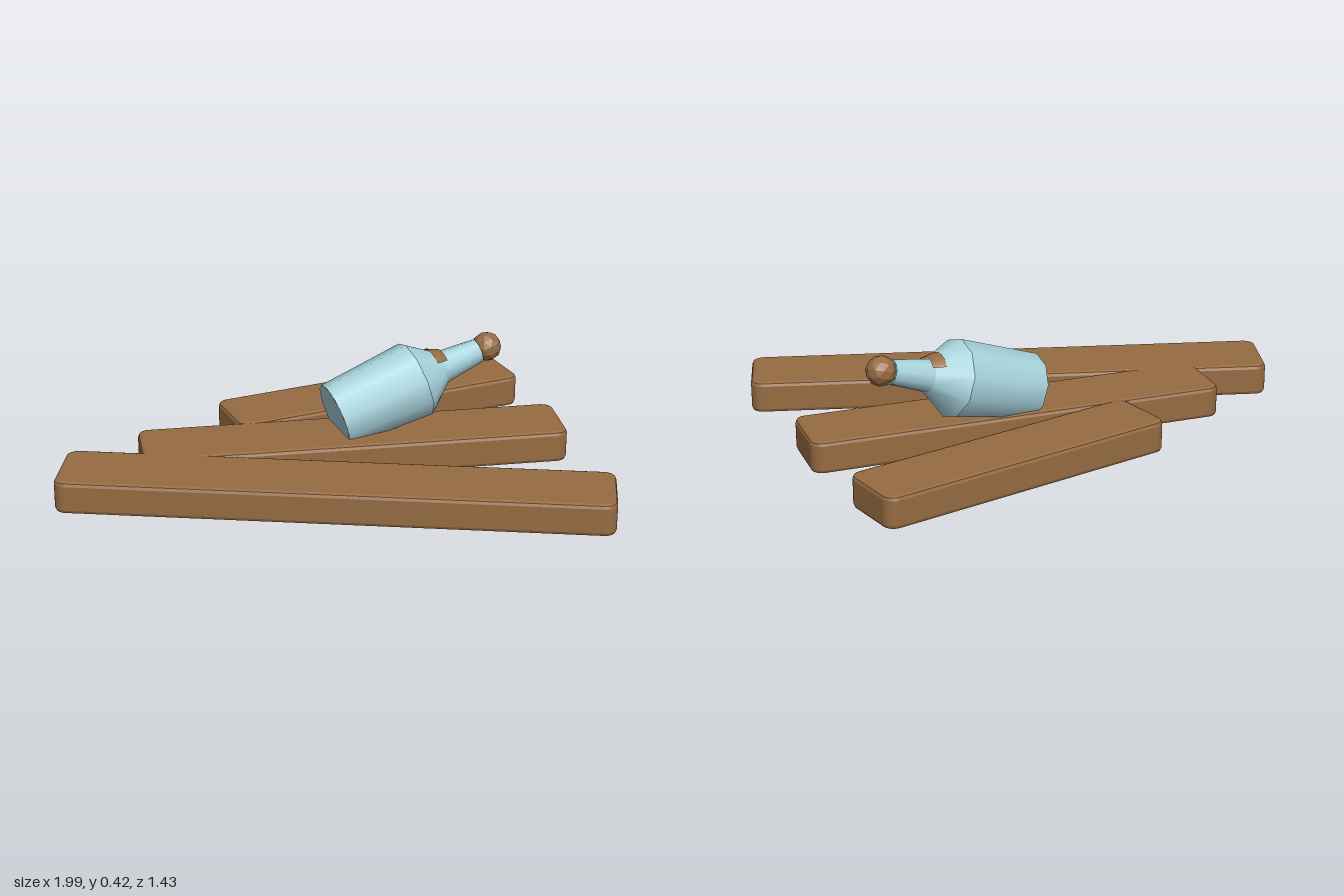
import * as THREE from 'three';

const wood = new THREE.MeshStandardMaterial({ color: 0x966b42 });
wood.name = 'brown wood';
const glass = new THREE.MeshStandardMaterial({ color: 0xa6d2db });
glass.name = 'pale blue glass';
const cork = new THREE.MeshStandardMaterial({ color: 0x966b42, flatShading: true });
cork.name = 'cork brown';

// Plank with rounded corners and a small bevel, lying on the ground
function plank(name, length, width, x, z, degrees) {
  const bevel = 0.015, r = 0.03, height = 0.122;
  const a = length / 2 - bevel, b = width / 2 - bevel;
  const s = new THREE.Shape();
  s.moveTo(-a + r, -b);
  s.lineTo(a - r, -b);
  s.absarc(a - r, -b + r, r, -Math.PI / 2, 0);
  s.absarc(a - r, b - r, r, 0, Math.PI / 2);
  s.absarc(-a + r, b - r, r, Math.PI / 2, Math.PI);
  s.absarc(-a + r, -b + r, r, Math.PI, Math.PI * 1.5);
  const geo = new THREE.ExtrudeGeometry(s, {
    depth: height - 2 * bevel, bevelThickness: bevel, bevelSize: bevel,
    bevelSegments: 2, curveSegments: 4,
  });
  geo.rotateX(-Math.PI / 2);
  const mesh = new THREE.Mesh(geo, wood);
  mesh.name = name;
  mesh.position.set(x, bevel, z);
  mesh.rotation.y = THREE.MathUtils.degToRad(degrees);
  return mesh;
}

// Bottle built upright along +y, then tilted onto the planks
function bottle() {
  const group = new THREE.Group();
  group.name = 'bottle';
  const sides = 10;
  const add = (name, geo, mat, y = 0) => {
    const mesh = new THREE.Mesh(geo, mat);
    mesh.name = name;
    mesh.position.y = y;
    group.add(mesh);
  };
  const lathe = (...pts) =>
    new THREE.LatheGeometry(pts.map(([r, y]) => new THREE.Vector2(r, y)), sides);

  add('bottleBody', lathe([0.125, 0], [0.147, 0.34]), glass);
  add('bottleShoulder', lathe([0.147, 0.34], [0.062, 0.45]), glass);
  add('bottleNeck', lathe([0.062, 0.45], [0.046, 0.605]), glass);
  add('bottleBase', new THREE.CircleGeometry(0.125, sides).rotateX(Math.PI / 2), glass);
  add('bottleRim', new THREE.CircleGeometry(0.046, sides).rotateX(-Math.PI / 2), glass, 0.605);

  // Scrap of binding over the upper side of the neck joint
  const band = wood.clone();
  band.name = 'binding brown';
  band.side = THREE.DoubleSide;
  const mid = THREE.MathUtils.degToRad(-73), half = THREE.MathUtils.degToRad(50);
  add('neckBinding',
    new THREE.CylinderGeometry(0.066, 0.088, 0.045, 8, 1, true, mid - half, 2 * half),
    band, 0.4425);

  add('corkStopper', new THREE.IcosahedronGeometry(0.056, 1), cork, 0.643);

  const axis = new THREE.Vector3(0.9145, 0.292, -0.28).normalize();
  group.quaternion.setFromUnitVectors(new THREE.Vector3(0, 1, 0), axis);
  group.position.set(0.03, 0.18, -0.01);
  return group;
}

export function createModel() {
  const model = new THREE.Group();
  model.name = 'bottleOnPlanks';
  model.add(
    plank('frontPlank', 1.985, 0.292, 0, 0.4, -9.8),
    plank('middlePlank', 1.585, 0.285, 0.0975, 0, 5),
    plank('backPlank', 1.185, 0.27, 0.1975, -0.405, 20),
    bottle(),
  );
  return model;
}
